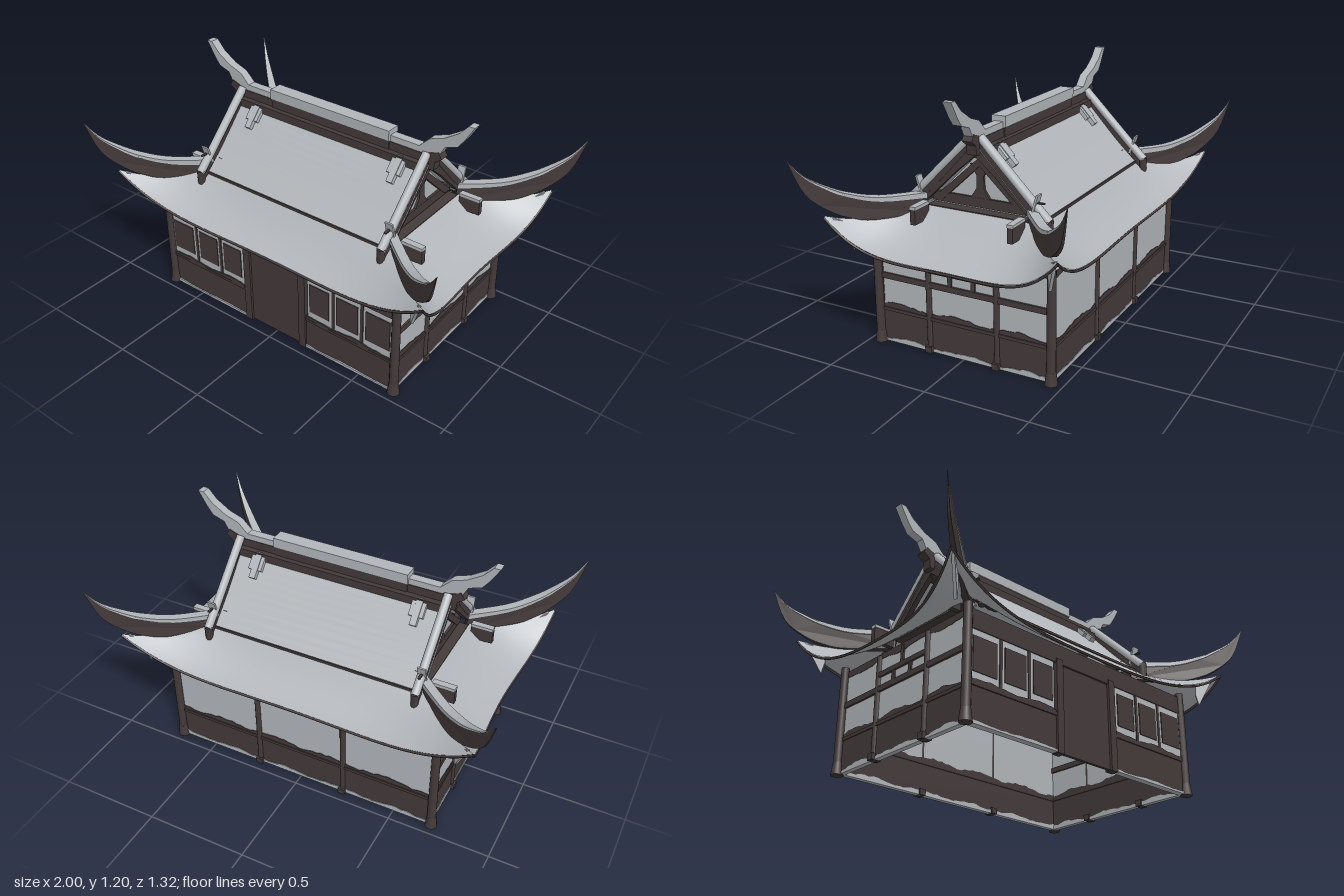
import * as THREE from 'three';

const timber = new THREE.MeshStandardMaterial({ color: 0x443a3a, side: THREE.DoubleSide });
timber.name = 'dark timber';
const snow = new THREE.MeshStandardMaterial({ color: 0xb2b6ba, side: THREE.DoubleSide });
snow.name = 'pale grey';

function add(parent, name, geo, mat, x = 0, y = 0, z = 0) {
  const m = new THREE.Mesh(geo, mat);
  m.name = name;
  m.position.set(x, y, z);
  parent.add(m);
  return m;
}
const box = (p, name, mat, w, h, d, x, y, z) => add(p, name, new THREE.BoxGeometry(w, h, d), mat, x, y, z);

// Closed outline extruded evenly about its own plane
function plate(points, depth) {
  const shape = new THREE.Shape(points.map(([x, y]) => new THREE.Vector2(x, y)));
  return new THREE.ExtrudeGeometry(shape, { depth, bevelEnabled: false }).translate(0, 0, -depth / 2);
}

// Strip whose edge "yWavy" is an uneven drift line
function drift(len, yFlat, yWavy, amp, seed, depth = 0.008) {
  let s = seed;
  const rnd = () => (s = (s * 16807) % 2147483647) / 2147483647;
  const n = Math.round(len / 0.025);
  const pts = [[-len / 2, yFlat], [len / 2, yFlat]];
  for (let i = n; i >= 0; i--) {
    const x = -len / 2 + (len * i) / n;
    pts.push([x, yWavy + amp * (0.6 * Math.sin(x * 21 + seed) + 0.8 * (rnd() - 0.5))]);
  }
  return plate(pts, depth);
}

const smooth = (pts, n = 20) => new THREE.SplineCurve(pts.map(([x, y]) => new THREE.Vector2(x, y)))
  .getPoints(n).map(p => [p.x, p.y]);

// Curved sheet from a rule over u, v in 0..1
function sheet(rule, nu, nv) {
  const g = new THREE.PlaneGeometry(1, 1, nu, nv);
  const p = g.attributes.position, uv = g.attributes.uv;
  for (let i = 0; i < p.count; i++) p.setXYZ(i, ...rule(uv.getX(i), uv.getY(i)));
  g.computeVertexNormals();
  return g;
}

// Points of the eave skirt: front slope and side slope
function skirtPoint(front, u, v) {
  const a = u * 2 - 1, q = a * a;
  const along = front ? 0.56 + 0.335 * v : 0.3 + 0.27 * v;
  const low = front ? 0.49 + 0.17 * q * q : 0.48 + 0.18 * q * q;
  const out = front ? 0.3 + (0.21 + 0.06 * q) * v : 0.56 + (0.27 + 0.065 * q) * v;
  const y = 0.66 + (low - 0.66) * v - 0.15 * v * (1 - v) * (0.6 + 0.4 * q);
  return front ? [a * along, y, out] : [out, y, a * along];
}

function buildWalls(root) {
  const walls = new THREE.Group();
  walls.name = 'walls';
  root.add(walls);

  // Corner columns with flared feet
  for (const x of [-0.695, 0.695]) for (const z of [-0.445, 0.445]) {
    add(walls, 'cornerColumn', new THREE.CylinderGeometry(0.02, 0.022, 0.53, 12), timber, x, 0.265, z);
    add(walls, 'columnFoot', new THREE.CylinderGeometry(0.022, 0.03, 0.06, 12), timber, x, 0.03, z);
  }

  // Front wall with door and six windows
  const front = new THREE.Group();
  front.name = 'frontWall';
  front.position.z = 0.435;
  walls.add(front);
  box(front, 'lintel', timber, 1.38, 0.09, 0.03, 0, 0.465, 0);
  box(front, 'door', timber, 0.3, 0.42, 0.016, 0, 0.215, 0);
  box(front, 'doorHead', timber, 0.38, 0.012, 0.036, 0, 0.424, 0);
  for (const s of [-1, 1]) {
    box(front, 'doorPost', timber, 0.04, 0.44, 0.04, s * 0.17, 0.22, 0);
    box(front, 'lowerPanel', timber, 0.49, 0.17, 0.02, s * 0.435, 0.095, 0);
    box(front, 'sill', timber, 0.49, 0.014, 0.034, s * 0.435, 0.175, 0);
    add(front, 'sillDrift', drift(0.48, 0.18, 0.196, 0.008, 31 + s, 0.032), timber, s * 0.435);
    add(front, 'groundDrift', drift(0.49, 0.004, 0.018, 0.006, 7 + s, 0.034), snow, s * 0.435);
    for (const [x, w] of [[0.27, 0.14], [0.43, 0.148], [0.6, 0.158]]) {
      box(front, 'windowFrame', snow, w, 0.24, 0.02, s * x, 0.3, 0);
      box(front, 'windowPane', timber, w - 0.026, 0.16, 0.028, s * x, 0.31, 0);
    }
    for (const x of [0.35, 0.512, 0.682]) box(front, 'mullion', timber, 0.016, 0.26, 0.026, s * x, 0.3, 0);
  }

  // Plain plastered wall with dark dado
  const plasterWall = (name, len, posts, seed) => {
    const g = new THREE.Group();
    g.name = name;
    walls.add(g);
    box(g, 'plaster', snow, len, 0.34, 0.014, 0, 0.34, 0);
    box(g, 'dado', timber, len, 0.165, 0.02, 0, 0.09, 0);
    box(g, 'dadoRail', timber, len, 0.016, 0.03, 0, 0.168, 0);
    add(g, 'dadoDrift', drift(len, 0.17, 0.196, 0.012, seed, 0.02), timber);
    add(g, 'groundDrift', drift(len, 0.004, 0.024, 0.01, seed + 5, 0.026), snow);
    add(g, 'topDrift', drift(len, 0.51, 0.478, 0.01, seed + 9, 0.018), timber);
    for (const x of posts) {
      add(g, 'wallPost', new THREE.CylinderGeometry(0.015, 0.015, 0.5, 10), timber, x, 0.25, 0.006);
      box(g, 'postFoot', timber, 0.034, 0.03, 0.05, x, 0.018, 0.004);
    }
    return g;
  };
  const back = plasterWall('backWall', 1.38, [-0.23, 0.23], 17);
  back.position.z = -0.435;
  back.rotation.y = Math.PI;
  for (const s of [-1, 1]) {
    const g = plasterWall('sideWall', 0.87, [-0.175, 0.175], 40);
    g.position.x = s * 0.68;
    g.rotation.y = s * Math.PI / 2;
    box(g, 'middleRail', timber, 0.86, 0.028, 0.034, 0, 0.335, 0);
    box(g, 'upperRail', timber, 0.34, 0.024, 0.034, 0, 0.405, 0);
    box(g, 'shortPost', timber, 0.02, 0.08, 0.03, 0, 0.455, 0);
    for (const t of [-1, 1]) box(g, 'shortPost', timber, 0.02, 0.05, 0.03, t * 0.06, 0.37, 0);
  }
}

function buildRoof(root) {
  const roof = new THREE.Group();
  roof.name = 'roof';
  root.add(roof);

  // Flared skirt on four sides with a dark eave edge
  for (const s of [-1, 1]) for (const front of [true, false]) {
    const rule = (u, v) => {
      const [x, y, z] = skirtPoint(front, u, v);
      return front ? [x, y, s * z] : [s * x, y, z];
    };
    add(roof, 'eaveSkirt', sheet(rule, 32, 12), snow);
    const edge = [];
    for (let i = 0; i <= 24; i++) edge.push(new THREE.Vector3(...rule(i / 24, 1)).add(new THREE.Vector3(0, -0.008, 0)));
    add(roof, 'eaveEdge', new THREE.TubeGeometry(new THREE.CatmullRomCurve3(edge), 48, 0.006, 6), timber);
  }

  // Upper gabled slopes
  const slope = new THREE.SplineCurve([[0, 0.98], [0.1, 0.872], [0.2, 0.765], [0.31, 0.66]]
    .map(p => new THREE.Vector2(...p)));
  for (const s of [-1, 1]) {
    add(roof, 'upperSlope', sheet((u, v) => {
      const p = slope.getPoint(v);
      return [(u * 2 - 1) * 0.56, p.y, s * p.x];
    }, 1, 12), snow);
    box(roof, 'slopeEdge', timber, 1.06, 0.012, 0.012, 0, 0.655, s * 0.31);
  }

  // Swept hip ridges at the corners
  const top = smooth([[0, 0.70], [0.21, 0.705], [0.35, 0.74], [0.446, 0.785], [0.537, 0.845], [0.603, 0.925]]);
  const bottom = smooth([[0, 0.62], [0.24, 0.615], [0.34, 0.635], [0.43, 0.675], [0.537, 0.765], [0.603, 0.922]]);
  const capTop = top.map(([x, y], i) => [x, y + 0.016 * (1 - i / 20)]);
  const capLow = top.map(([x, y], i) => [x, y - 0.012 * (1 - i / 20)]);
  const hipGeo = plate([...top, ...bottom.reverse()], 0.03);
  const capGeo = plate([...capTop, ...capLow.reverse()], 0.042);
  for (const geo of [hipGeo, capGeo]) {
    const p = geo.attributes.position;
    for (let i = 0; i < p.count; i++) {
      const k = 1 - 0.9 * Math.pow(Math.max(0, (p.getX(i) - 0.3) / 0.303), 1.6);
      p.setZ(i, p.getZ(i) * k);
    }
    geo.computeVertexNormals();
  }
  for (const sx of [-1, 1]) for (const sz of [-1, 1]) {
    const hip = new THREE.Group();
    hip.name = 'hipRidge';
    hip.position.set(sx * 0.54, 0, sz * 0.27);
    hip.rotation.y = Math.atan2(-sz * 0.39, sx * 0.46);
    roof.add(hip);
    add(hip, 'hipBoard', hipGeo, timber);
    add(hip, 'hipCap', capGeo, snow);
    // Hanging fin beneath the corner
    add(hip, 'cornerFin', plate([[0.34, 0.485], [0.325, 0.545], [0.33, 0.6], [0.43, 0.65], [0.39, 0.575]], 0.014), snow);
    box(roof, 'purlinEnd', timber, 0.11, 0.07, 0.026, sx * 0.635, 0.64, sz * 0.245);
    box(roof, 'purlinCap', snow, 0.11, 0.014, 0.032, sx * 0.635, 0.682, sz * 0.245);
  }
}

function buildGables(root) {
  for (const s of [-1, 1]) {
    const g = new THREE.Group();
    g.name = 'gable';
    g.rotation.y = s * Math.PI / 2;
    g.position.x = s * 0.5;
    root.add(g);
    add(g, 'gablePanel', plate([[-0.27, 0.66], [0.27, 0.66], [0, 0.93]], 0.01), snow);
    box(g, 'tieBeam', timber, 0.5, 0.045, 0.024, 0, 0.695, 0.005);
    box(g, 'gableSill', timber, 0.5, 0.012, 0.06, 0, 0.658, 0.03);
    // King post flaring at both ends
    add(g, 'kingPost', plate([[-0.06, 0.7], [0.06, 0.7], [0.02, 0.76], [0.018, 0.82], [0.05, 0.87],
      [-0.05, 0.87], [-0.018, 0.82], [-0.02, 0.76]], 0.024), timber, 0, 0, 0.004);
    for (const t of [-1, 1]) {
      add(g, 'innerRafter', plate([[0, 0.905], [t * 0.25, 0.68], [t * 0.2, 0.68], [0, 0.865]], 0.03), timber, 0, 0, 0.006);
      add(g, 'bargeBoard', plate([[0, 1.0], [t * 0.1, 0.91], [t * 0.27, 0.745], [t * 0.35, 0.66],
        [t * 0.345, 0.625], [t * 0.25, 0.69], [t * 0.1, 0.835], [0, 0.92]], 0.026), timber, 0, 0, 0.042);
      const path = new THREE.CatmullRomCurve3([[0.02, 1.005], [0.12, 0.905], [0.2, 0.825], [0.28, 0.745], [0.355, 0.672]]
        .map(([z, y]) => new THREE.Vector3(t * z, y, 0.04)));
      add(g, 'rakeRoll', new THREE.TubeGeometry(path, 20, 0.021, 10), snow);
      add(g, 'rakeEnd', new THREE.CylinderGeometry(0.021, 0.018, 0.07, 10), timber, t * 0.352, 0.645, 0.04);
      // Small upright fin at the foot of the rake
      add(g, 'rakeFin', plate([[t * 0.275, 0.7], [t * 0.285, 0.7], [t * 0.312, 0.79], [t * 0.302, 0.79]], 0.04), snow, 0, 0, 0.045);
      box(g, 'rakePin', timber, 0.06, 0.006, 0.012, t * 0.305, 0.752, 0.045);
    }
  }
}

function buildRidge(root) {
  const ridge = new THREE.Group();
  ridge.name = 'mainRidge';
  root.add(ridge);
  box(ridge, 'ridgeBeam', timber, 0.69, 0.08, 0.06, 0, 0.965, 0);
  box(ridge, 'ridgeCap', snow, 0.695, 0.052, 0.072, 0, 1.03, 0);
  add(ridge, 'ridgeDrift', drift(1.1, 0.96, 0.91, 0.012, 77, 0.11), timber);
  for (const s of [-1, 1]) {
    const m = pts => pts.map(([x, y]) => [s * x, y]);
    add(ridge, 'ridgeEnd', plate(m([[0.34, 0.93], [0.58, 0.93], [0.585, 0.975], [0.62, 1.0], [0.6, 1.03],
      [0.52, 1.0], [0.34, 1.0]]), 0.05), timber);
    // Upswept horn
    add(ridge, 'ridgeHorn', plate(m([[0.34, 0.995], [0.5, 0.995], [0.53, 1.01], [0.6, 1.01], [0.63, 1.065], [0.69, 1.085],
      [0.72, 1.125], [0.765, 1.2], [0.735, 1.2], [0.69, 1.15], [0.62, 1.105], [0.55, 1.08], [0.5, 1.03], [0.34, 1.03]]), 0.044), snow);
    // Ornaments lying on the slopes below the ridge
    for (const t of [-1, 1]) {
      const o = new THREE.Group();
      o.name = 'slopeOrnament';
      o.position.set(s * 0.42, 0.905, t * 0.08);
      o.rotation.x = t * 0.82;
      ridge.add(o);
      box(o, 'ornamentStem', snow, 0.032, 0.03, 0.13, 0, 0, 0);
      for (const k of [-1, 1]) box(o, 'ornamentWing', snow, 0.018, 0.024, 0.07, k * 0.026, 0, -t * 0.012);
    }
  }
}

export function createModel() {
  const root = new THREE.Group();
  root.name = 'hall';
  buildWalls(root);
  buildRoof(root);
  buildGables(root);
  buildRidge(root);
  return root;
}
